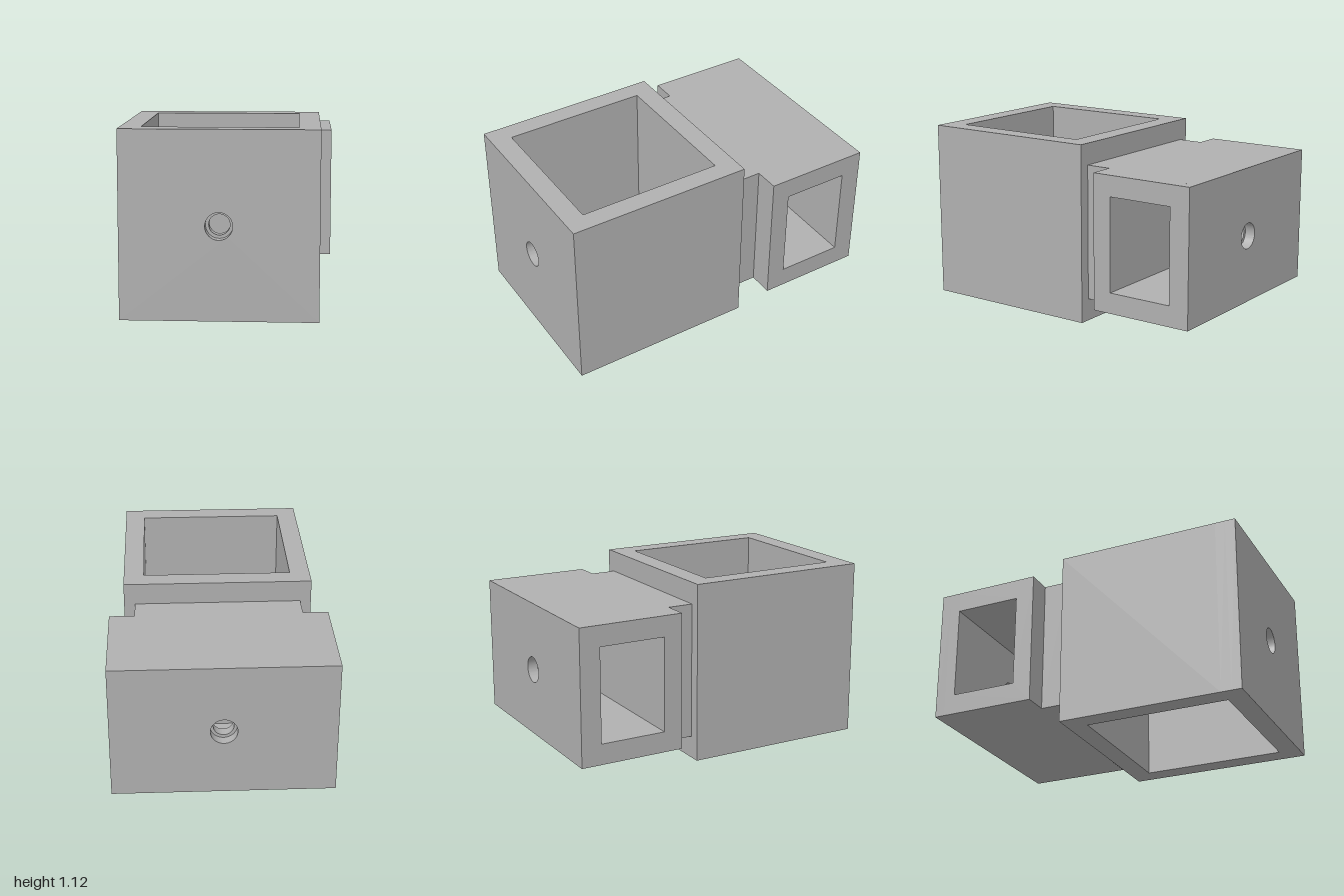
import * as THREE from 'three';
import { toCreasedNormals } from 'three/addons/utils/BufferGeometryUtils.js';

const polygon = (pts) => new THREE.Shape(pts.map(([x, y]) => new THREE.Vector2(x, y)));

const extrude = (shape, depth) =>
  new THREE.ExtrudeGeometry(shape, { depth, bevelEnabled: false, curveSegments: 32 });

export function createModel() {
  const grey = new THREE.MeshStandardMaterial({ color: 0xb0b0b0 });
  grey.name = 'grey';
  const model = new THREE.Group();
  model.name = 'tubeConnector';

  const add = (name, geometry) => {
    const mesh = new THREE.Mesh(toCreasedNormals(geometry, 0.6), grey);
    mesh.name = name;
    model.add(mesh);
  };

  // Rectangular wall layer, facing z, with a round hole in its middle
  const drilledLayer = (name, halfWidth, y0, y1, z0, depth, radius) => {
    const shape = polygon([[-halfWidth, y0], [halfWidth, y0], [halfWidth, y1], [-halfWidth, y1]]);
    const hole = new THREE.Path();
    hole.absarc(0, 0.5625, radius, 0, Math.PI * 2, true);
    shape.holes.push(hole);
    add(name, extrude(shape, depth).translate(0, 0, z0));
  };

  const wide = 0.081, narrow = 0.062, half = 0.065;

  // Front sleeve: three walls open at top and bottom
  const sleeve = polygon([
    [-0.585, -0.87], [-0.46, -0.87], [-0.46, 0.04], [0.46, 0.04],
    [0.46, -0.87], [0.585, -0.87], [0.585, 0.17], [-0.585, 0.17],
  ]);
  add('sleeveWalls', extrude(sleeve, 1.125).rotateX(-Math.PI / 2));

  // Front wall with a stepped screw hole
  drilledLayer('sleeveFrontInner', 0.585, 0, 1.125, 0.87, half, narrow);
  drilledLayer('sleeveFrontOuter', 0.585, 0, 1.125, 0.87 + half, half, wide);

  // Neck between the two sleeves
  add('neck', new THREE.BoxGeometry(1.036, 0.85, 0.16).translate(0, 0.565, -0.25));

  // Rear sleeve: three walls open at both sides
  const crossSleeve = polygon([
    [0.33, 0.14], [0.87, 0.14], [0.87, 0.27], [0.45, 0.27],
    [0.45, 0.86], [0.87, 0.86], [0.87, 0.99], [0.33, 0.99],
  ]);
  add('crossSleeveWalls', extrude(crossSleeve, 1.35).rotateY(Math.PI / 2).translate(-0.675, 0, 0));

  // Back wall with a stepped screw hole
  drilledLayer('crossSleeveBackInner', 0.675, 0.14, 0.99, -0.87 - half, half, narrow);
  drilledLayer('crossSleeveBackOuter', 0.675, 0.14, 0.99, -1, half, wide);

  return model;
}
